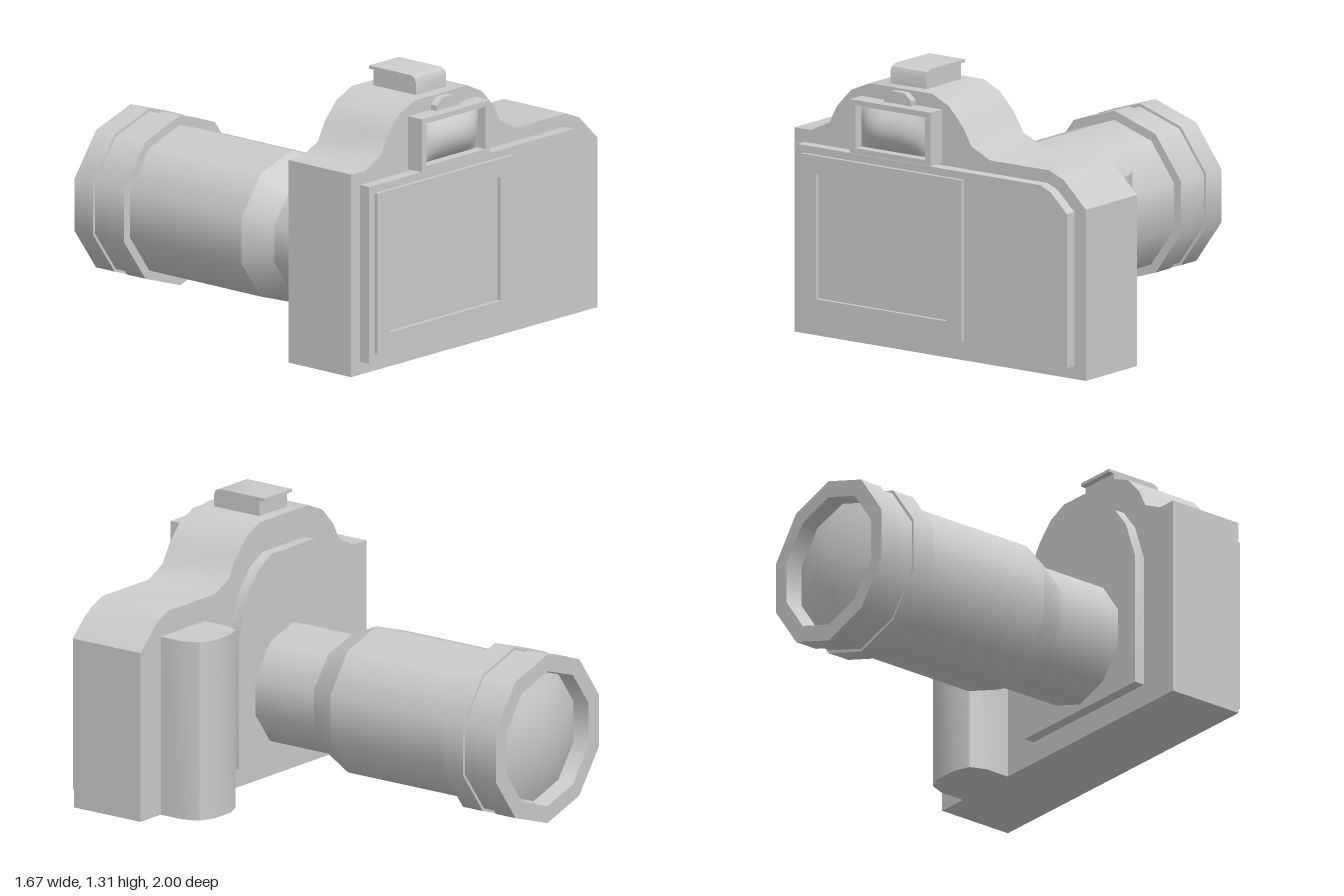
import * as THREE from 'three';
import { mergeGeometries, toCreasedNormals } from 'three/addons/utils/BufferGeometryUtils.js';

const material = new THREE.MeshStandardMaterial({ color: 0xcccccc });
const CX = -0.225; // x of the lens and viewfinder axis
const CREASE = 0.68;

const toShape = (pts) => new THREE.Shape(pts.map(([x, y]) => new THREE.Vector2(x, y)));
const rect = (x0, y0, x1, y1) => [[x0, y0], [x1, y0], [x1, y1], [x0, y1]];

// Extrude an outline from z0 to z1, optionally with one hole
function slab(pts, z0, z1, hole) {
  const shape = toShape(pts);
  if (hole) shape.holes.push(toShape(hole));
  const geo = new THREE.ExtrudeGeometry(shape, { depth: z1 - z0, bevelEnabled: false });
  return toCreasedNormals(geo.translate(0, 0, z0), CREASE);
}

// Ten-sided lathe whose axis points forward along the lens (h = -z)
function turned(pts) {
  return new THREE.LatheGeometry(pts.map(([r, h]) => new THREE.Vector2(r, h)), 10)
    .rotateX(-Math.PI / 2).translate(CX, 0.425, 0);
}

export function createModel() {
  const model = new THREE.Group();
  model.name = 'camera';
  const add = (name, geometry) => {
    const mesh = new THREE.Mesh(geometry, material);
    mesh.name = name;
    model.add(mesh);
    return mesh;
  };

  // Body with the raised prism hump
  add('body', slab([
    [-0.835, 0], [0.835, 0], [0.835, 0.8], [0.71, 0.92], [0.625, 0.955], [0.285, 0.955],
    [0.18, 1.005], [0.13, 1.09], [0.05, 1.175], [-0.045, 1.22], [-0.405, 1.22],
    [-0.51, 1.175], [-0.59, 1.09], [-0.635, 1.005], [-0.74, 0.955], [-0.835, 0.955],
  ], 0.525, 0.91));

  // Rear panel and the screen surround
  add('rearPanel', slab([
    [-0.775, 0.06], [0.77, 0.06], [0.77, 0.78], [0.675, 0.87], [0.615, 0.895], [-0.775, 0.895],
  ], 0.91, 0.966));
  add('screenFrame', slab(rect(-0.74, 0.105, 0.18, 0.86), 0.966, 0.985,
    rect(-0.655, 0.19, 0.095, 0.775)));

  // Eyepiece frame with a bulging window
  add('eyepieceFrame', slab(rect(-0.45, 0.905, 0.01, 1.155), 0.91, 0.997,
    rect(-0.42, 0.93, -0.02, 1.13)));
  const pane = new THREE.PlaneGeometry(0.4, 0.2, 12, 12);
  const p = pane.attributes.position;
  for (let i = 0; i < p.count; i++) {
    const u = p.getX(i) / 0.2, v = p.getY(i) / 0.1;
    p.setZ(i, 0.05 * (1 - u ** 4) * (1 - v * v));
  }
  pane.computeVertexNormals();
  add('eyepieceWindow', pane.translate(-0.22, 1.03, 0.95));
  add('eyepieceDial', slab([
    [-0.295, 1.15], [-0.14, 1.15], [-0.14, 1.18], [-0.18, 1.21], [-0.255, 1.21], [-0.295, 1.18],
  ], 0.91, 0.945));

  // Accessory block on top: profile in z and y, extruded across x
  add('topBlock', slab([
    [0.56, 1.293], [0.588, 1.293], [0.588, 1.21], [0.85, 1.21],
    [0.85, 1.275], [0.842, 1.298], [0.82, 1.308], [0.56, 1.308],
  ], 0, 0.205).rotateY(-Math.PI / 2).translate(-0.125, 0, 0));

  // Hand grip: plan profile extruded upward
  add('grip', slab([
    [0.36, -0.53], [0.685, -0.53], [0.685, -0.4], [0.655, -0.325],
    [0.585, -0.295], [0.465, -0.295], [0.39, -0.325], [0.36, -0.4],
  ], 0, 0.845).rotateX(-Math.PI / 2));

  // Arched mounting plate
  const arch = [[0.4, 0.105], [0.4, 0.74], [0.335, 0.92], [0.255, 1.02], [0.16, 1.075]];
  add('mountPlate', slab([
    ...arch.map(([x, y]) => [CX + x, y]),
    ...arch.slice().reverse().map(([x, y]) => [CX - x, y]),
  ], 0.472, 0.525));

  // Lens barrel: one band per step so the steps stay sharp
  const profile = [
    [0.29, -0.48], [0.29, -0.135], [0.357, 0.01], [0.357, 0.695], [0.4, 0.695], [0.4, 0.81],
    [0.386, 0.81], [0.386, 0.885], [0.4, 0.885], [0.4, 1], [0.32, 1], [0.31, 0.92],
  ];
  add('lensBarrel', mergeGeometries(
    profile.slice(1).map((pt, i) => turned([profile[i], pt]))));

  // Domed front glass
  const dome = [];
  for (let i = 0; i <= 8; i++) {
    const r = 1 - i / 8;
    dome.push([0.31 * r, 0.92 + 0.07 * (1 - r * r)]);
  }
  add('lensGlass', turned(dome));

  return model;
}
